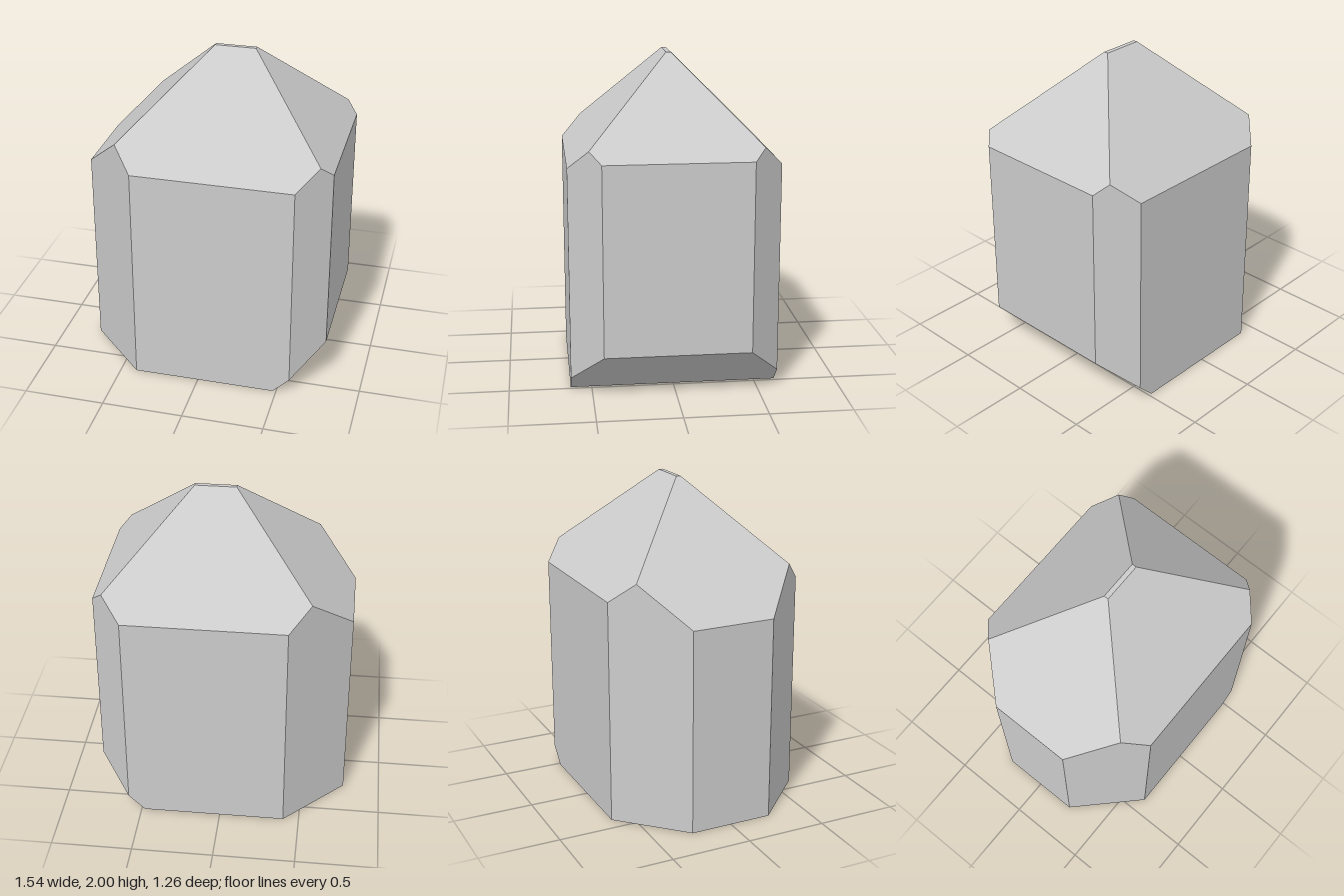
import * as THREE from 'three';

// Each facet is a cutting plane: outward direction and the limit of p . direction
const facets = [
  [0, 1, 0, 2], [0, -1, 0, 0],       // tiny crown and flat base
  [1, 0, 0, 0.77], [-1, 0, 0, 0.77], // left and right walls
  [1, -1, 0, 0.48],                  // bevel under the left wall
  [1, 1, 0, 2.21], [-1, 1, 0, 2.04], // side roof slopes
];
// Front and back mirror each other
for (const s of [1, -1]) {
  facets.push(
    [0, 0, s, 0.628],  // wall
    [1, 0, s, 1.208],  // narrow corner
    [-1, 0, s, 1.03],  // wide corner
    [0, 1, s, 2.014],  // roof slope
  );
}

// Corners of the solid: plane triples that meet inside every other plane
function findCorners(planes) {
  const corners = [];
  for (let i = 0; i < planes.length; i++)
    for (let j = i + 1; j < planes.length; j++)
      for (let k = j + 1; k < planes.length; k++) {
        const [a, b, c] = [planes[i], planes[j], planes[k]];
        const bc = b.n.clone().cross(c.n);
        const det = a.n.dot(bc);
        if (Math.abs(det) < 1e-6) continue;
        const p = bc.multiplyScalar(a.d)
          .addScaledVector(c.n.clone().cross(a.n), b.d)
          .addScaledVector(a.n.clone().cross(b.n), c.d)
          .divideScalar(det);
        if (planes.every((q) => q.n.dot(p) <= q.d + 1e-6) &&
          !corners.some((v) => v.distanceTo(p) < 1e-5)) corners.push(p);
      }
  return corners;
}

// Flat polygon for each plane, its corners sorted around the outward normal
function cutSolid(planes) {
  const corners = findCorners(planes);
  const position = [], normal = [];
  for (const { n, d } of planes) {
    const ring = corners.filter((p) => Math.abs(n.dot(p) - d) < 1e-5);
    if (ring.length < 3) continue;
    const mid = new THREE.Vector3();
    ring.forEach((p) => mid.addScaledVector(p, 1 / ring.length));
    const u = ring[0].clone().sub(mid).normalize();
    const v = n.clone().cross(u);
    const angle = (p) => {
      const r = p.clone().sub(mid);
      return Math.atan2(r.dot(v), r.dot(u));
    };
    ring.sort((p, q) => angle(p) - angle(q));
    for (let i = 1; i < ring.length - 1; i++)
      for (const p of [ring[0], ring[i], ring[i + 1]]) {
        position.push(p.x, p.y, p.z);
        normal.push(n.x, n.y, n.z);
      }
  }
  const geometry = new THREE.BufferGeometry();
  geometry.setAttribute('position', new THREE.Float32BufferAttribute(position, 3));
  geometry.setAttribute('normal', new THREE.Float32BufferAttribute(normal, 3));
  return geometry;
}

export function createModel() {
  const group = new THREE.Group();
  group.name = 'facetedCrystal';
  const planes = facets.map(([x, y, z, limit]) => {
    const n = new THREE.Vector3(x, y, z);
    const length = n.length();
    return { n: n.divideScalar(length), d: limit / length };
  });
  const crystal = new THREE.Mesh(
    cutSolid(planes),
    new THREE.MeshStandardMaterial({ color: 0xcccccc, flatShading: true }),
  );
  crystal.name = 'crystalBody';
  group.add(crystal);
  return group;
}
